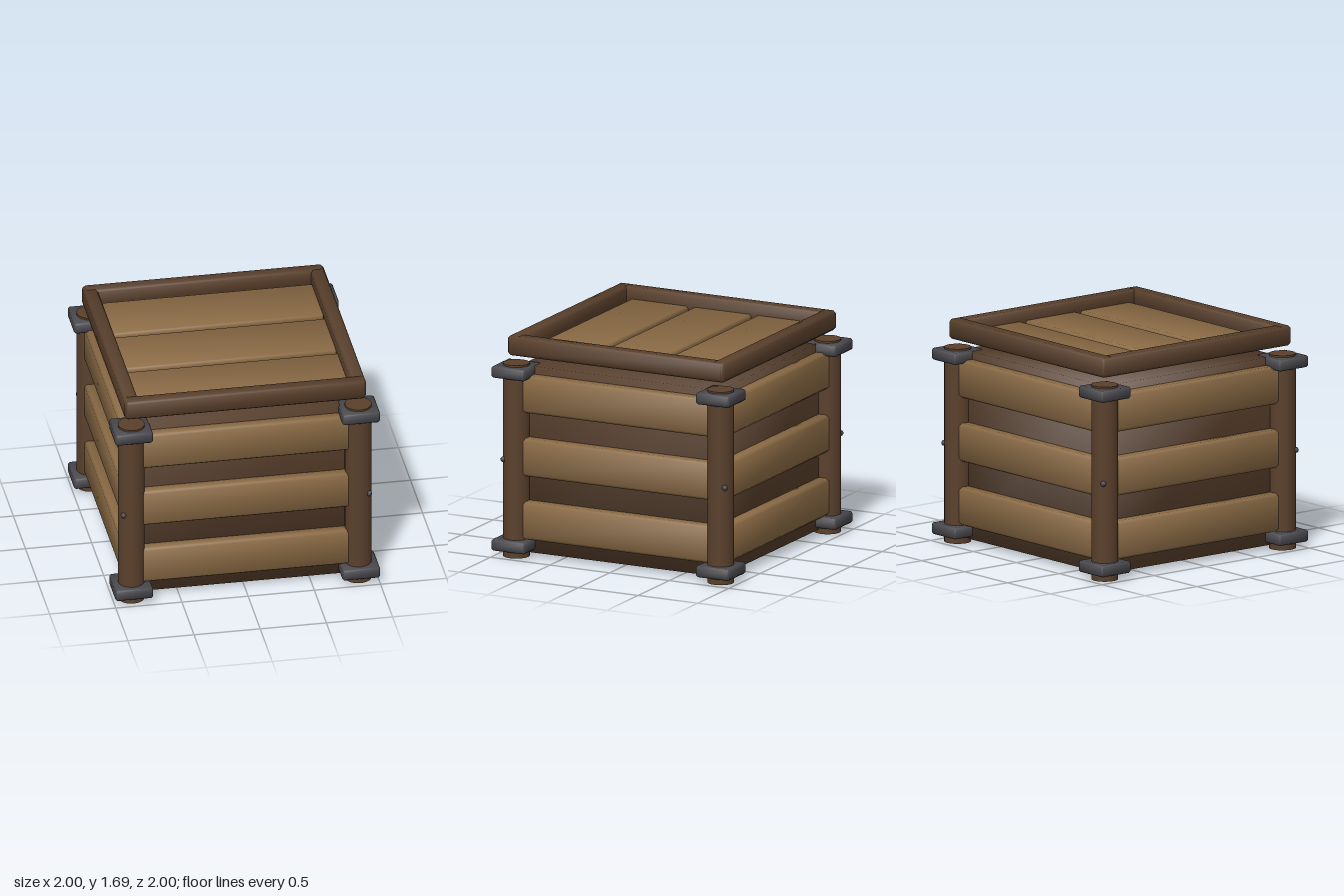
import * as THREE from 'three';
import { mergeVertices } from 'three/addons/utils/BufferGeometryUtils.js';

// Share vertices and give them soft, angle-weighted normals
function soften(geo) {
  geo.deleteAttribute('normal');
  geo.deleteAttribute('uv');
  geo.clearGroups();
  const g = mergeVertices(geo, 1e-4);
  const p = g.attributes.position, idx = g.index;
  const normals = Array.from({ length: p.count }, () => new THREE.Vector3());
  for (let i = 0; i < idx.count; i += 3) {
    const ids = [0, 1, 2].map((k) => idx.getX(i + k));
    const v = ids.map((id) => new THREE.Vector3().fromBufferAttribute(p, id));
    const face = v[1].clone().sub(v[0]).cross(v[2].clone().sub(v[0])).normalize();
    for (let k = 0; k < 3; k++) {
      const a = v[(k + 1) % 3].clone().sub(v[k]);
      const b = v[(k + 2) % 3].clone().sub(v[k]);
      normals[ids[k]].addScaledVector(face, a.angleTo(b));
    }
  }
  const out = new Float32Array(p.count * 3);
  normals.forEach((n, i) => n.normalize().toArray(out, i * 3));
  g.setAttribute('normal', new THREE.BufferAttribute(out, 3));
  return g;
}

// Box with chamfered edges and soft shading
function chamferBox(w, h, d, bevel) {
  const geo = new THREE.BoxGeometry(2, 2, 2, 3, 3, 3);
  const p = geo.attributes.position, half = [w / 2, h / 2, d / 2];
  for (let i = 0; i < p.count; i++) {
    const c = [p.getX(i), p.getY(i), p.getZ(i)];
    const outer = c.filter((a) => Math.abs(a) > 0.9).length;
    const inset = bevel * (1 - 1 / outer);
    c.forEach((a, k) => {
      c[k] = Math.sign(a) * (half[k] - (Math.abs(a) > 0.9 ? inset : bevel));
    });
    p.setXYZ(i, ...c);
  }
  return soften(geo);
}

export function createModel() {
  const model = new THREE.Group();
  model.name = 'crate';

  const material = (name, color) => {
    const m = new THREE.MeshStandardMaterial({ color });
    m.name = name;
    return m;
  };
  const lightWood = material('light wood', 0x8b6b45);
  const darkWood = material('dark wood', 0x5a402c);
  const metal = material('dark metal', 0x48484d);

  const add = (parent, name, geo, mat, x, y, z) => {
    const mesh = new THREE.Mesh(geo, mat);
    mesh.name = name;
    mesh.position.set(x, y, z);
    parent.add(mesh);
    return mesh;
  };

  // Dark inner box
  add(model, 'innerBox', soften(new THREE.BoxGeometry(1.66, 1.43, 1.66)), darkWood, 0, 0.745, 0);

  // Corner posts with metal brackets and a rivet on the outer diagonal
  const postGeo = new THREE.CylinderGeometry(0.1, 0.1, 1.48, 24);
  const bracketGeo = chamferBox(0.285, 0.088, 0.285, 0.015);
  const rivetGeo = new THREE.SphereGeometry(0.022, 12, 8);
  for (const sx of [-1, 1]) {
    for (const sz of [-1, 1]) {
      const corner = new THREE.Group();
      corner.name = 'corner';
      model.add(corner);
      add(corner, 'post', postGeo, darkWood, sx * 0.857, 0.74, sz * 0.857);
      for (const y of [0.095, 1.422]) {
        add(corner, 'bracket', bracketGeo, metal, sx * 0.8575, y, sz * 0.8575);
      }
      add(corner, 'rivet', rivetGeo, metal, sx * 0.928, 0.745, sz * 0.928);
    }
  }

  // Three planks on each of the four sides
  const plankGeo = chamferBox(1.6, 0.29, 0.1, 0.022);
  for (let side = 0; side < 4; side++) {
    const panel = new THREE.Group();
    panel.name = 'sidePanel';
    panel.rotation.y = side * Math.PI / 2;
    model.add(panel);
    for (let i = 0; i < 3; i++) {
      add(panel, 'sidePlank', plankGeo, lightWood, 0, 0.287 + i * 0.485, 0.862);
    }
  }

  // Raised lid: planks inside a frame of rails
  const lid = new THREE.Group();
  lid.name = 'lid';
  model.add(lid);
  const lidPlankGeo = chamferBox(1.64, 0.065, 0.486, 0.015);
  for (const i of [-1, 0, 1]) {
    add(lid, 'lidPlank', lidPlankGeo, lightWood, 0, 1.568, i * 0.53 - 0.002);
  }
  const railGeo = chamferBox(1.815, 0.15, 0.11, 0.02);
  const sideRailGeo = chamferBox(0.11, 0.148, 1.8, 0.02);
  for (const s of [-1, 1]) {
    add(lid, 'lidRail', railGeo, darkWood, 0, 1.615, s * 0.855);
    add(lid, 'lidSideRail', sideRailGeo, darkWood, s * 0.857, 1.615, 0);
  }

  return model;
}
